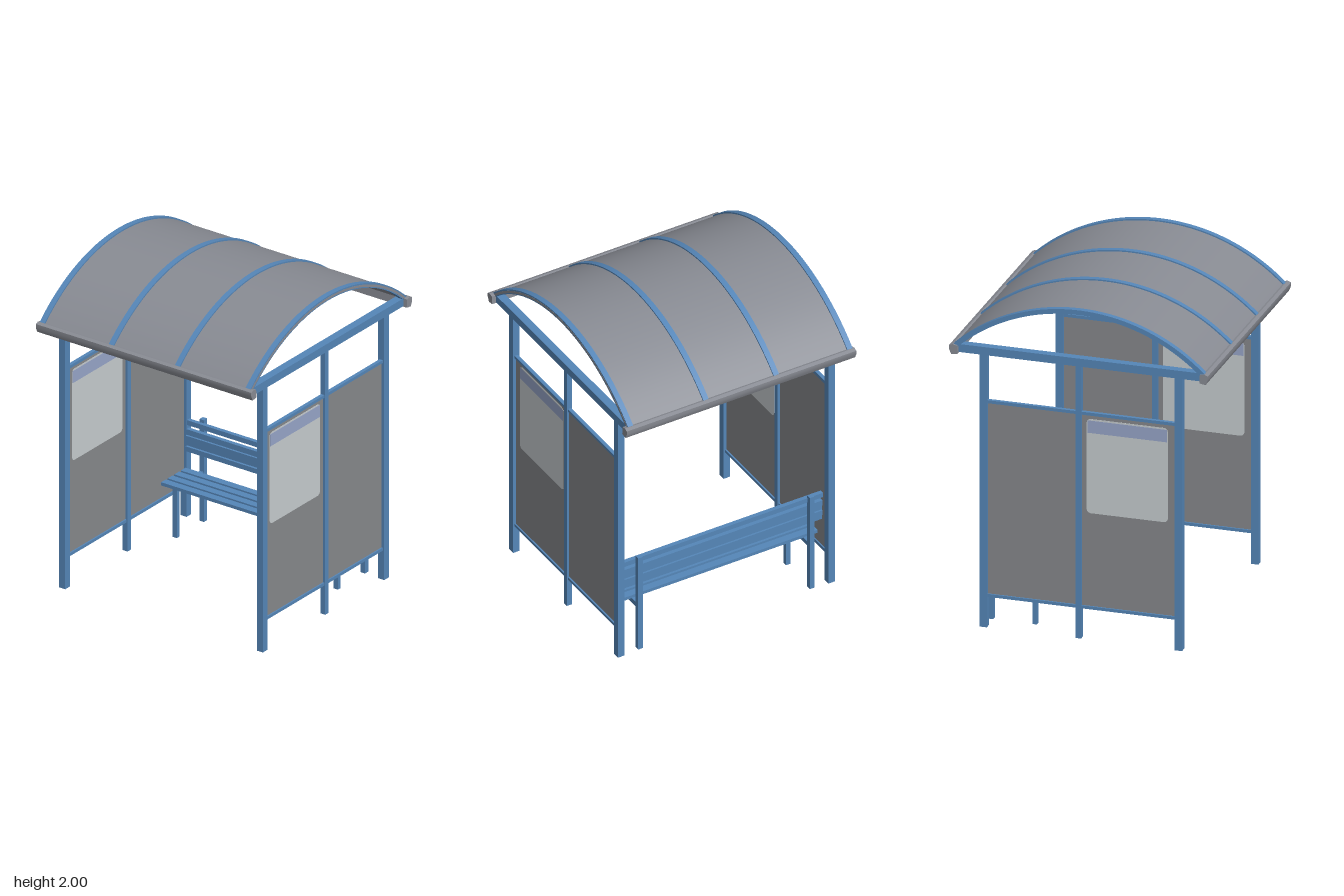
import * as THREE from 'three';
import { toCreasedNormals } from 'three/addons/utils/BufferGeometryUtils.js';

const paint = (name, color) => {
  const m = new THREE.MeshStandardMaterial({ color });
  m.name = name;
  return m;
};

export function createModel() {
  const blue = paint('blue steel', 0x5586b8);
  const roofGrey = paint('roof grey', 0x888b93);
  const panelGrey = paint('panel grey', 0x86888b);
  const paper = paint('poster paper', 0xc6cccf);
  const strip = paint('poster header blue', 0x97a5c8);

  const shelter = new THREE.Group();
  shelter.name = 'shelter';

  const add = (parent, name, geometry, material, x = 0, y = 0, z = 0) => {
    const mesh = new THREE.Mesh(geometry, material);
    mesh.name = name;
    mesh.position.set(x, y, z);
    parent.add(mesh);
    return mesh;
  };
  const box = (parent, name, material, w, h, d, x, y, z) =>
    add(parent, name, new THREE.BoxGeometry(w, h, d), material, x, y, z);

  // Extrudes a shape drawn in (z, y) along x, centred on x = 0
  const extrudeX = (shape, width) => {
    const g = new THREE.ExtrudeGeometry(shape, { depth: width, bevelEnabled: false, curveSegments: 36 });
    g.translate(0, 0, -width / 2);
    g.rotateY(-Math.PI / 2);
    return toCreasedNormals(g, 0.5);
  };

  // Curved band of the barrel roof
  const arcBand = (inner, outer, halfAngle, width) => {
    const a = Math.PI / 2 - halfAngle, b = Math.PI / 2 + halfAngle, cy = 0.915;
    const s = new THREE.Shape();
    s.absarc(0, cy, outer, a, b, false);
    s.absarc(0, cy, inner, b, a, true);
    s.closePath();
    return extrudeX(s, width);
  };

  // Roof sheet and its four ribs
  const roof = new THREE.Group();
  roof.name = 'roof';
  shelter.add(roof);
  add(roof, 'roofSheet', arcBand(1.062, 1.076, 0.77, 1.466), roofGrey, -0.004);
  for (const x of [-0.723, -0.242, 0.218, 0.711])
    add(roof, 'roofRib', arcBand(1.056, 1.084, 0.766, 0.034), blue, x);

  // Eave gutters at front and back
  const eaveShape = new THREE.Shape(
    [[0.715, 1.65], [0.752, 1.645], [0.765, 1.675], [0.765, 1.698], [0.745, 1.706], [0.718, 1.7]]
      .map(([z, y]) => new THREE.Vector2(z, y)));
  for (const turn of [0, Math.PI])
    add(roof, 'eave', extrudeX(eaveShape, 1.5), roofGrey).rotation.y = turn;

  // Rounded poster outline in (z, y)
  const posterShape = new THREE.Shape();
  const [z0, z1, y0, y1, r] = [0.03, 0.51, 0.76, 1.33, 0.025];
  posterShape.absarc(z1 - r, y1 - r, r, 0, Math.PI / 2, false);
  posterShape.absarc(z0 + r, y1 - r, r, Math.PI / 2, Math.PI, false);
  posterShape.absarc(z0 + r, y0 + r, r, Math.PI, Math.PI * 1.5, false);
  posterShape.absarc(z1 - r, y0 + r, r, Math.PI * 1.5, Math.PI * 2, false);

  // Side walls: posts, top beam, rails, panels and posters
  for (const side of [-1, 1]) {
    const wall = new THREE.Group();
    wall.name = side > 0 ? 'leftWall' : 'rightWall';
    wall.position.x = side * 0.688;
    shelter.add(wall);
    for (const z of [-0.577, 0.577])
      box(wall, 'cornerPost', blue, 0.042, 1.66, 0.044, 0, 0.83, z);
    box(wall, 'middlePost', blue, 0.034, 1.66, 0.032, 0, 0.83, -0.015);
    box(wall, 'topBeam', blue, 0.05, 0.048, 1.45, side * 0.012, 1.677, 0);
    for (const y of [0.19, 1.362])
      box(wall, 'rail', blue, 0.022, 0.018, 1.12, 0, y, 0);
    box(wall, 'panelFront', panelGrey, 0.004, 1.16, 0.56, 0, 0.776, 0.278);
    box(wall, 'panelBack', panelGrey, 0.004, 1.16, 0.53, 0, 0.776, -0.293);
    add(wall, 'poster', extrudeX(posterShape, 0.007), paper);
    box(wall, 'posterHeader', strip, 0.0098, 0.075, 0.47, 0, 1.283, 0.27);
  }

  // Bench between the back posts
  const bench = new THREE.Group();
  bench.name = 'bench';
  shelter.add(bench);
  for (const x of [-0.565, 0.557]) {
    box(bench, 'backLeg', blue, 0.03, 0.635, 0.032, x, 0.3175, -0.575);
    box(bench, 'frontLeg', blue, 0.03, 0.31, 0.026, x, 0.155, -0.315);
    box(bench, 'seatBracket', blue, 0.026, 0.03, 0.28, x, 0.297, -0.44);
  }
  for (const z of [-0.305, -0.367, -0.43, -0.492])
    box(bench, 'seatSlat', blue, 1.285, 0.02, 0.046, -0.002, 0.32, z);
  // Backrest slats: height centre, height, depth position
  for (const [y, h, z] of [[0.601, 0.03, -0.55], [0.544, 0.034, -0.546], [0.509, 0.03, -0.538],
    [0.476, 0.03, -0.546], [0.442, 0.03, -0.538]])
    box(bench, 'backSlat', blue, 1.305, h, 0.026, 0, y, z);

  return shelter;
}
